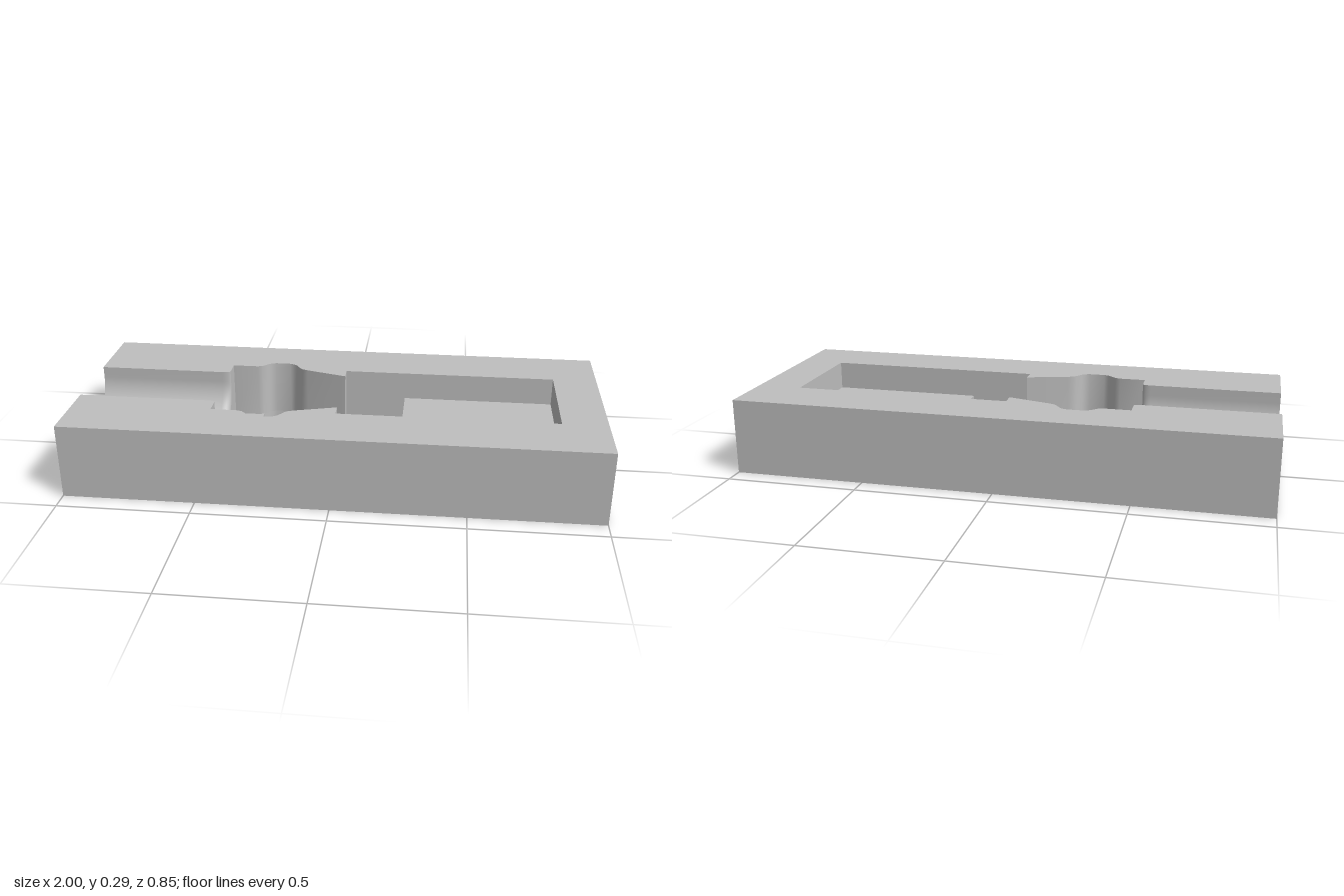
import * as THREE from 'three';
import { toCreasedNormals } from 'three/addons/utils/BufferGeometryUtils.js';

const H = 0.287, W = 0.425;          // block height and half depth
const LOW = 0.07, HIGH = 0.178;      // floor levels inside the cavity
const R = 0.14, CY = 0.245;          // groove radius and axis height
const END = -0.47, FILLET = 0.033;   // groove mouth at the cavity
const POCKET = 0.205, STEP = 0.24, POCKET_END = 0.83;

// Half outline of the waisted cavity, as x and half width
const shelfSide = [[END, 0.216], [-0.37, 0.216], [-0.35, 0.222]];
const holeSide = [[-0.35, 0.222], [-0.33, 0.242], [-0.318, 0.252], [-0.3, 0.258], [-0.24, 0.258],
  [-0.222, 0.252], [-0.21, 0.242], [-0.193, 0.216], [-0.18, 0.204], [-0.16, 0.196], [0, 0.15]];

const back = (pts) => pts.map(([x, z]) => [x, -z]);
const front = (pts) => [...pts].reverse();

// Groove section as [z, y], flared where it opens into the cavity
function grooveSection(flare) {
  const pts = [];
  for (let i = 0; i <= 32; i++) {
    const a = Math.PI * i / 32;
    const r = R + flare * (0.3 + 0.7 * Math.sin(a));
    pts.push([-Math.cos(a) * r, CY - Math.sin(a) * r]);
  }
  return [[pts[0][0], H], ...pts, [pts[32][0], H]];
}

// Stations along the groove: straight run, then a rounded lip
const stations = [{ x: -1, flare: 0 }];
for (let i = 0; i <= 6; i++) {
  const a = Math.PI / 2 * i / 6;
  stations.push({ x: END - FILLET + FILLET * Math.sin(a), flare: FILLET * (1 - Math.cos(a)) });
}

const flat = (pts, hole) => {
  const shape = new THREE.Shape(pts.map(([u, v]) => new THREE.Vector2(u, v)));
  if (hole) shape.holes.push(new THREE.Path(hole.map(([u, v]) => new THREE.Vector2(u, v))));
  return new THREE.ShapeGeometry(shape);
};
const floor = (pts, y) => flat(pts).rotateX(-Math.PI / 2).translate(0, y, 0);
const rect = (x0, x1, z) => [[x0, -z], [x1, -z], [x1, z], [x0, z]];

// Upright strip along [x, z] points, facing left of the direction of travel
function wall(pts, y0, y1) {
  const pos = [];
  for (let i = 0; i < pts.length - 1; i++) {
    const [ax, az] = pts[i], [bx, bz] = pts[i + 1];
    pos.push(ax, y0, az, bx, y0, bz, bx, y1, bz, ax, y0, az, bx, y1, bz, ax, y1, az);
  }
  const g = new THREE.BufferGeometry();
  g.setAttribute('position', new THREE.Float32BufferAttribute(pos, 3));
  g.computeVertexNormals();
  return toCreasedNormals(g, 0.75);
}

// Smooth trough lofted through the groove sections
function trough() {
  const pos = [], index = [];
  const n = grooveSection(0).length;
  stations.forEach(({ x, flare }, i) => {
    grooveSection(flare).forEach(([z, y], j) => {
      pos.push(x, y, z);
      if (i < stations.length - 1 && j < n - 1) {
        const a = i * n + j, b = a + 1, c = a + n, d = c + 1;
        index.push(a, b, c, b, d, c);
      }
    });
  });
  const g = new THREE.BufferGeometry();
  g.setAttribute('position', new THREE.Float32BufferAttribute(pos, 3));
  g.setIndex(index);
  g.computeVertexNormals();
  return g;
}

export function createModel() {
  const group = new THREE.Group();
  const grey = new THREE.MeshStandardMaterial({ color: 0xbfbfbf });
  grey.name = 'grey';
  const add = (name, geometry) => {
    const mesh = new THREE.Mesh(geometry, grey);
    mesh.name = name;
    group.add(mesh);
  };

  const rim = stations.map(({ x, flare }) => [x, R + flare * 0.3]);
  const side = [...rim, ...shelfSide, ...holeSide.slice(1), [0, POCKET], [POCKET_END, POCKET]];
  const holeLoop = [...back(holeSide), ...front(holeSide)];

  // Outer block
  add('topFace', floor([[-1, -W], ...back(side), ...front(side), [-1, W], [1, W], [1, -W]], H));
  add('bottomFace', flat(rect(-1, 1, W), holeLoop).rotateX(Math.PI / 2));
  add('outerWalls', wall([[-1, W], [1, W], [1, -W], [-1, -W]], 0, H));
  add('grooveEndFace', flat([[-W, 0], [W, 0], [W, H],
    ...grooveSection(0).reverse(), [-W, H]]).rotateY(-Math.PI / 2).translate(-1, 0, 0));

  // Round-bottomed groove and the wall it opens through
  add('groove', trough());
  const s = shelfSide[0][1];
  add('grooveMouthWall', flat([[-s, LOW], [s, LOW], [s, H],
    ...grooveSection(FILLET).reverse(), [-s, H]]).rotateY(Math.PI / 2).translate(END, 0, 0));

  // Waisted cavity with its shelf and through hole
  const cavity = [...shelfSide, ...holeSide.slice(1), [0, POCKET], [STEP, POCKET]];
  add('cavityBackWall', wall(back(cavity), LOW, H));
  add('cavityFrontWall', wall(front(cavity), LOW, H));
  add('throughHoleWall', wall([...holeLoop, holeLoop[0]], 0, LOW));
  add('shelf', floor([...back(shelfSide), ...front(shelfSide)], LOW));

  // Stepped rectangular pocket
  add('lowerPocketFloor', floor(rect(0, STEP, POCKET), LOW));
  add('upperPocketFloor', floor(rect(STEP, POCKET_END, POCKET), HIGH));
  add('pocketStep', wall([[STEP, -POCKET], [STEP, POCKET]], LOW, HIGH));
  add('pocketWalls', wall([[STEP, -POCKET], [POCKET_END, -POCKET],
    [POCKET_END, POCKET], [STEP, POCKET]], HIGH, H));

  return group;
}
